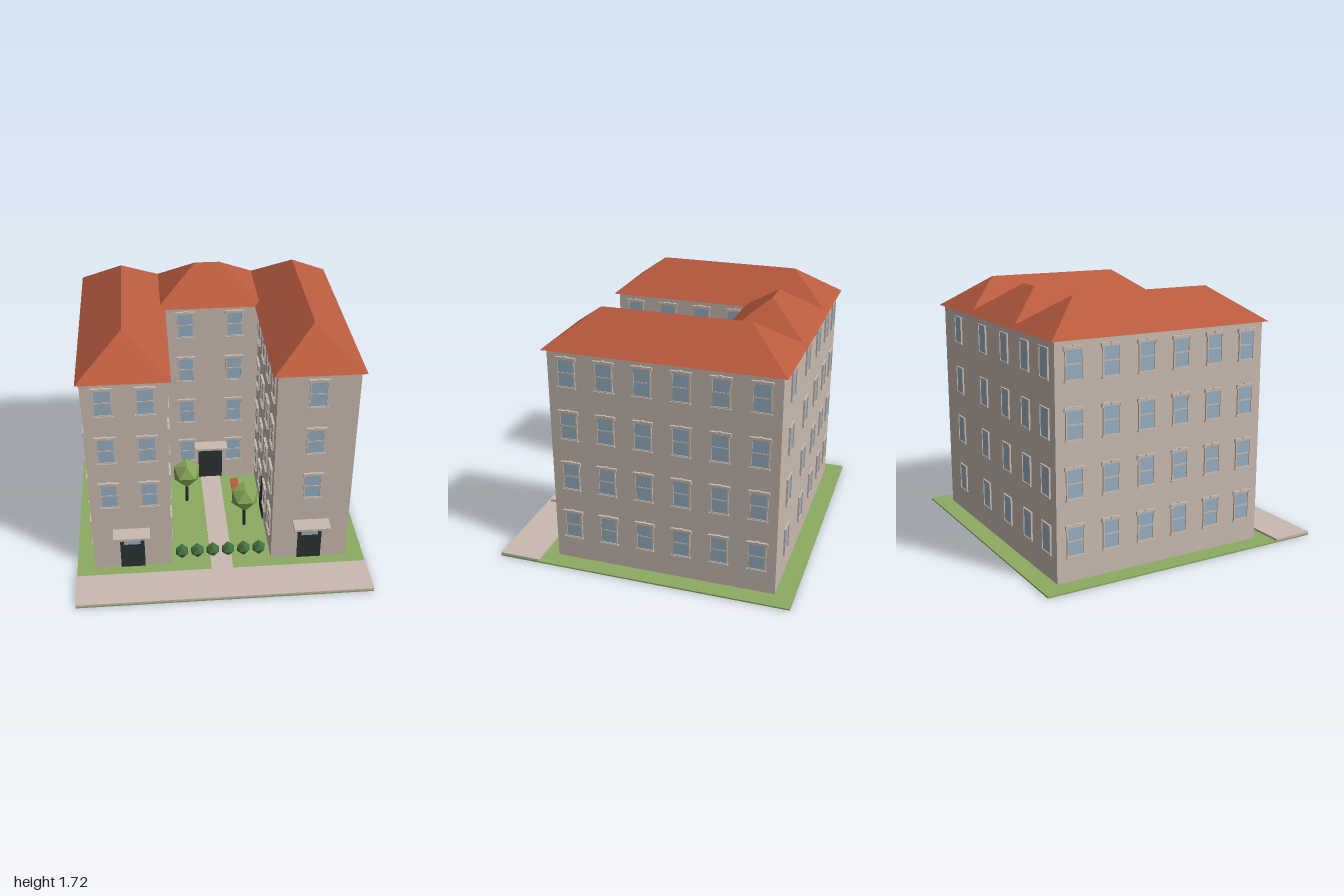
import * as THREE from 'three';
import { mergeGeometries } from 'three/addons/utils/BufferGeometryUtils.js';

const mat = (name, color) => {
  const m = new THREE.MeshStandardMaterial({ color });
  m.name = name;
  return m;
};

export function createModel() {
  const model = new THREE.Group();
  model.name = 'courtyardBuilding';
  const M = {
    wall: mat('beigeStone', 0xc9baaf),
    roof: mat('terracotta', 0xb95b3e),
    glass: mat('paleBlueGlass', 0x98b0c3),
    door: mat('darkDoor', 0x2b3433),
    grass: mat('grassGreen', 0x8cab62),
    leaf: mat('treeGreen', 0x86a658),
    hedge: mat('hedgeGreen', 0x42703f),
    trunk: mat('darkTrunk', 0x2a2725),
  };
  const add = (name, geo, material, parent = model) => {
    const mesh = new THREE.Mesh(geo, material);
    mesh.name = name;
    parent.add(mesh);
    return mesh;
  };
  // Box geometry given by its extents
  const span = (x0, x1, y0, y1, z0, z1) =>
    new THREE.BoxGeometry(x1 - x0, y1 - y0, z1 - z0)
      .translate((x0 + x1) / 2, (y0 + y1) / 2, (z0 + z1) / 2);

  // Ground
  add('lawn', span(-1, 1, 0, 0.01, -1, 1), M.grass);
  add('pavement', span(-1, 1, 0.01, 0.025, 0.72, 1), M.wall);
  add('gardenPath', span(-0.075, 0.075, 0.01, 0.016, -0.36, 0.72), M.wall);

  // Walls
  const FRONT = 0.625, BACK = -0.875, COURT = -0.36, OUT = 0.875, IN = 0.347, TOP = 1.5;
  add('leftWingWalls', span(IN, OUT, 0.01, TOP, BACK, FRONT), M.wall);
  add('rightWingWalls', span(-OUT, -IN, 0.01, TOP, BACK, FRONT), M.wall);
  add('centreWalls', span(-IN, IN, 0.01, TOP, BACK, COURT), M.wall);

  // Hip roof with equal slopes; the ridge follows the longer side
  function hipRoof(w, d, h) {
    const x = w / 2, z = d / 2, m = Math.min(x, z);
    const A = [-x, 0, z], B = [x, 0, z], C = [x, 0, -z], D = [-x, 0, -z];
    const along = d > w;
    const P = along ? [0, h, z - m] : [-(x - m), h, 0];
    const Q = along ? [0, h, -(z - m)] : [x - m, h, 0];
    const faces = along
      ? [A, B, P, B, C, Q, B, Q, P, C, D, Q, D, A, P, D, P, Q]
      : [A, B, Q, A, Q, P, B, C, Q, C, D, P, C, P, Q, D, A, P];
    faces.push(A, D, C, A, C, B);
    const g = new THREE.BufferGeometry();
    g.setAttribute('position', new THREE.Float32BufferAttribute(faces.flat(), 3));
    g.computeVertexNormals();
    return g;
  }
  for (const s of [-1, 1]) {
    add(s > 0 ? 'leftWingRoof' : 'rightWingRoof', hipRoof(0.59, 1.56, 0.22), M.roof)
      .position.set(s * 0.61, TOP, -0.125);
  }
  add('centreRoof', hipRoof(0.76, 0.585, 0.22), M.roof).position.set(0, TOP, -0.615);

  // Window parts, facing +z, with the sill at y = 0
  const W = 0.06, H = 0.2;
  const frame = [
    span(-W, -W + 0.009, 0.006, H, 0, 0.011),
    span(W - 0.009, W, 0.006, H, 0, 0.011),
    span(-W, W, 0.006, 0.015, 0, 0.011),
    span(-W, W, H - 0.009, H, 0, 0.011),
  ];
  const plainTrim = mergeGeometries(frame);
  const ornateTrim = mergeGeometries([
    ...frame,
    span(-W, W, 0.1, 0.109, 0, 0.008),            // meeting rail
    span(-0.066, 0.066, 0, 0.009, 0, 0.016),      // sill
    span(-0.066, 0.066, H, 0.211, 0, 0.016),      // lintel
    span(-0.07, -0.056, 0.185, 0.208, 0, 0.014),  // brackets
    span(0.056, 0.07, 0.185, 0.208, 0, 0.014),
    span(-0.009, 0.009, 0.197, 0.216, 0, 0.018),  // keystone
  ]);
  const pane = span(-W + 0.005, W - 0.005, 0.01, H - 0.005, 0, 0.005);
  function windowAt(x, y, z, turn, ornate = true) {
    const g = new THREE.Group();
    g.name = 'window';
    add('windowTrim', ornate ? ornateTrim : plainTrim, M.wall, g);
    add('windowPane', pane, M.glass, g);
    g.position.set(x, y, z);
    g.rotation.y = turn;
    model.add(g);
  }
  const Q = Math.PI / 2;
  const wingColumns = [-0.745, -0.48, 0.61], centreColumns = [-0.175, 0.175];
  for (let floor = 0; floor < 4; floor++) {
    const y = 0.166 + floor * 0.362;
    for (let i = 0; i < 6; i++) {
      const z = 0.5 - i * 0.25;
      for (const s of [-1, 1]) {
        windowAt(s * OUT, y, z, s * Q);
        if (i < 4) windowAt(s * IN, y, z, -s * Q);
      }
    }
    if (floor > 0) wingColumns.forEach((x) => windowAt(x, y, FRONT, 0));
    centreColumns.forEach((x) => windowAt(x, y, COURT, 0));
    [...wingColumns, ...centreColumns].forEach((x) => windowAt(x, y, BACK, Math.PI, false));
  }

  // Doors, with an optional glazed panel and canopy
  function doorAt(name, x, z, turn, w, { glazed = false, canopy = 0 } = {}) {
    const g = new THREE.Group();
    g.name = name;
    add('doorLeaf', span(-w / 2, w / 2, 0.01, 0.31, 0, 0.008), M.door, g);
    if (glazed) add('doorGlass', span(-0.057, 0.057, 0.21, 0.295, 0.006, 0.011), M.glass, g);
    if (canopy) add('doorCanopy', span(-0.124, 0.124, 0.325, 0.342, 0, canopy), M.wall, g);
    g.position.set(x, 0, z);
    g.rotation.y = turn;
    model.add(g);
  }
  for (const s of [-1, 1]) {
    doorAt('wingDoor', s * 0.612, FRONT, 0, 0.166, { glazed: true, canopy: 0.11 });
    doorAt('courtSideDoor', s * IN, 0.11, -s * Q, 0.166);
  }
  doorAt('centreDoor', 0, COURT, 0, 0.18, { canopy: 0.1 });

  // Trees and hedge
  const crown = (r) => new THREE.IcosahedronGeometry(r, 0).rotateX(Q);
  for (const [x, z] of [[-0.2, -0.07], [0.2, 0.245]]) {
    const tree = new THREE.Group();
    tree.name = 'tree';
    add('treeTrunk', new THREE.CylinderGeometry(0.012, 0.012, 0.19, 6), M.trunk, tree).position.y = 0.1;
    add('treeCrown', crown(0.108), M.leaf, tree).position.y = 0.272;
    tree.position.set(x, 0, z);
    model.add(tree);
  }
  for (let i = 0; i < 6; i++) {
    add('hedgeBush', crown(0.051), M.hedge).position.set((i - 2.5) * 0.1085, 0.047, 0.545);
  }

  // Bench
  add('benchSeat', span(0.145, 0.203, 0.05, 0.062, -0.253, -0.055), M.roof);
  for (const z of [-0.225, -0.093]) {
    add('benchLeg', span(0.152, 0.196, 0.01, 0.05, z, z + 0.01), M.trunk);
  }
  return model;
}
